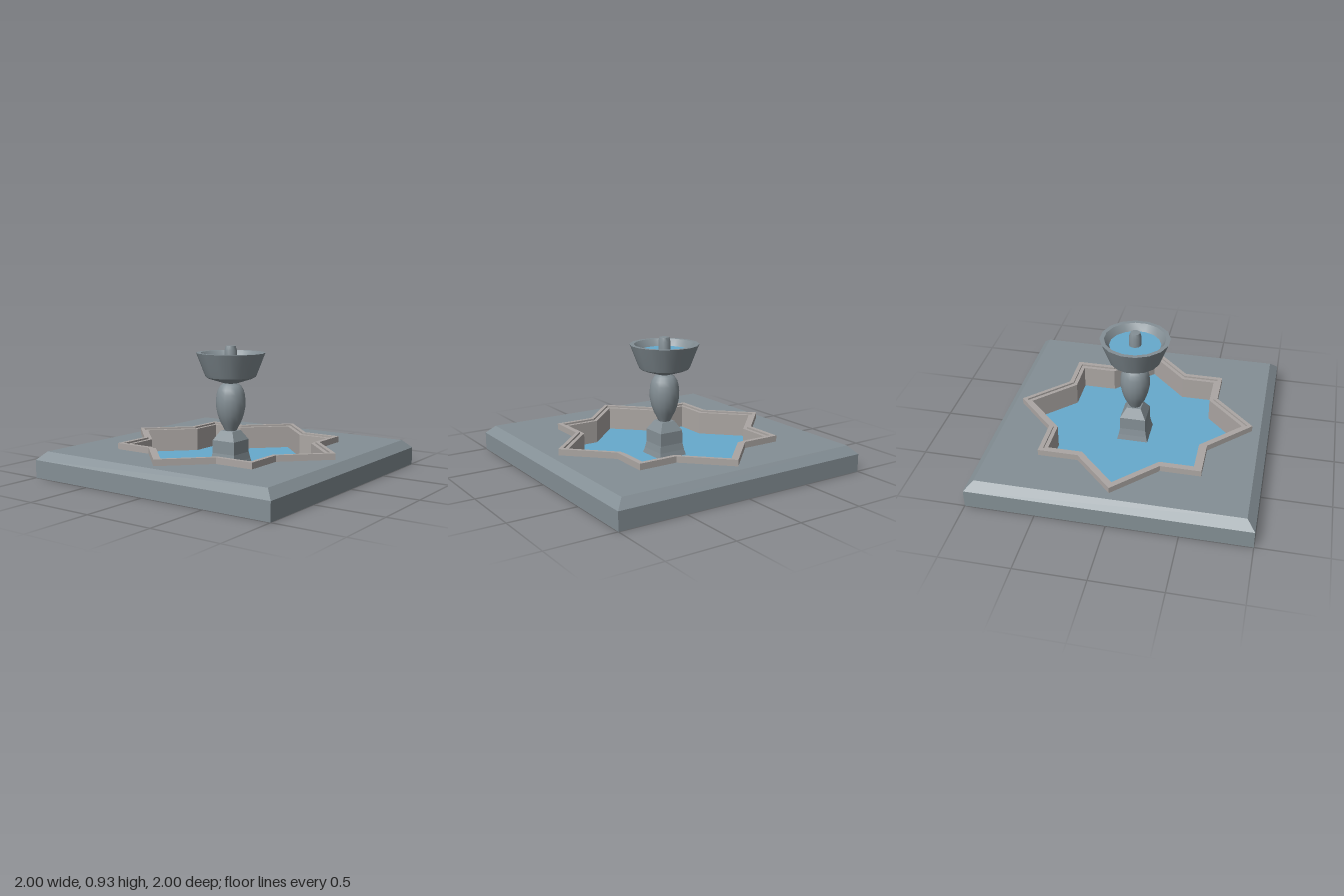
import * as THREE from 'three';
import { toCreasedNormals } from 'three/addons/utils/BufferGeometryUtils.js';

const stone = new THREE.MeshStandardMaterial({ color: 0x848f95 });
const rimStone = new THREE.MeshStandardMaterial({ color: 0xaba6a3 });
const water = new THREE.MeshStandardMaterial({ color: 0x67aacd });
stone.name = 'greyStone';
rimStone.name = 'paleStone';
water.name = 'water';

const square = (s) => [[s, -s], [s, s], [-s, s], [-s, -s]];

// Eight-pointed star: a square of half-width s crossed with a diamond of reach d
function star(s, d) {
  const quarter = [[d, 0], [s, d - s], [s, s], [d - s, s]];
  const points = [];
  for (let q = 0; q < 4; q++) {
    for (const [x, z] of quarter) {
      points.push([[x, z], [-z, x], [-x, -z], [z, -x]][q]);
    }
  }
  return points;
}

// Flat-faced skin over rings of matching points, each given as [points, y]
function loft(rings) {
  const positions = [];
  for (let r = 0; r < rings.length - 1; r++) {
    const [low, y0] = rings[r];
    const [high, y1] = rings[r + 1];
    low.forEach((p, i) => {
      const j = (i + 1) % low.length;
      const a = [p[0], y0, p[1]];
      const b = [low[j][0], y0, low[j][1]];
      const c = [high[i][0], y1, high[i][1]];
      const d = [high[j][0], y1, high[j][1]];
      positions.push(...a, ...c, ...b, ...b, ...c, ...d);
    });
  }
  const geometry = new THREE.BufferGeometry();
  geometry.setAttribute('position', new THREE.Float32BufferAttribute(positions, 3));
  geometry.computeVertexNormals();
  return geometry;
}

// Horizontal face at height y, with an optional hole
function sheet(points, y, hole) {
  const toVectors = (list) => list.map(([x, z]) => new THREE.Vector2(x, -z));
  const shape = new THREE.Shape(toVectors(points));
  if (hole) shape.holes.push(new THREE.Path(toVectors(hole)));
  return new THREE.ShapeGeometry(shape).rotateX(-Math.PI / 2).translate(0, y, 0);
}

function turned(profile, sides) {
  const points = profile.map(([r, y]) => new THREE.Vector2(r, y));
  return toCreasedNormals(new THREE.LatheGeometry(points, sides, Math.PI / sides), 0.6);
}

export function createModel() {
  const model = new THREE.Group();
  model.name = 'starFountain';
  const add = (name, geometry, material) => {
    const mesh = new THREE.Mesh(geometry, material);
    mesh.name = name;
    model.add(mesh);
  };

  const outer = star(0.585, 0.88);
  const middle = star(0.553, 0.842);
  const inner = star(0.525, 0.803);

  // Bevelled plinth, open where the pool sits
  add('plinthSides', loft([[square(1), 0], [square(1), 0.13], [square(0.94), 0.19]]), stone);
  add('plinthTop', sheet(square(0.94), 0.19, outer), stone);
  add('plinthUnderside', sheet(square(1), 0, null).rotateX(Math.PI), stone);

  // Stepped star rim running down into the pool wall
  add('poolRim', loft([
    [outer, 0.19], [outer, 0.235], [middle, 0.235],
    [middle, 0.222], [inner, 0.222], [inner, 0.04],
  ]), rimStone);
  add('poolWater', sheet(inner, 0.05), water);

  // Square flared pedestal
  add('pedestal', loft([
    [0.118, 0.04], [0.105, 0.09], [0.096, 0.14],
    [0.095, 0.235], [0.053, 0.305], [0.001, 0.305],
  ].map(([s, y]) => [square(s), y])), stone);

  // Urn-shaped stem
  add('stem', turned([
    [0.042, 0.3], [0.053, 0.325], [0.078, 0.37], [0.097, 0.425], [0.108, 0.48],
    [0.109, 0.53], [0.104, 0.575], [0.094, 0.61], [0.075, 0.64], [0.048, 0.657],
  ], 16), stone);

  // Upper basin, its water and the spout
  add('basin', turned([
    [0.045, 0.655], [0.165, 0.693], [0.184, 0.703], [0.194, 0.725],
    [0.254, 0.88], [0.222, 0.88], [0.18, 0.82],
  ], 16), stone);
  add('basinWater', new THREE.CircleGeometry(0.187, 16, Math.PI / 16)
    .rotateX(-Math.PI / 2).translate(0, 0.83, 0), water);
  add('spout', turned([
    [0.045, 0.82], [0.045, 0.9], [0.036, 0.93], [0, 0.932],
  ], 12), stone);

  return model;
}
